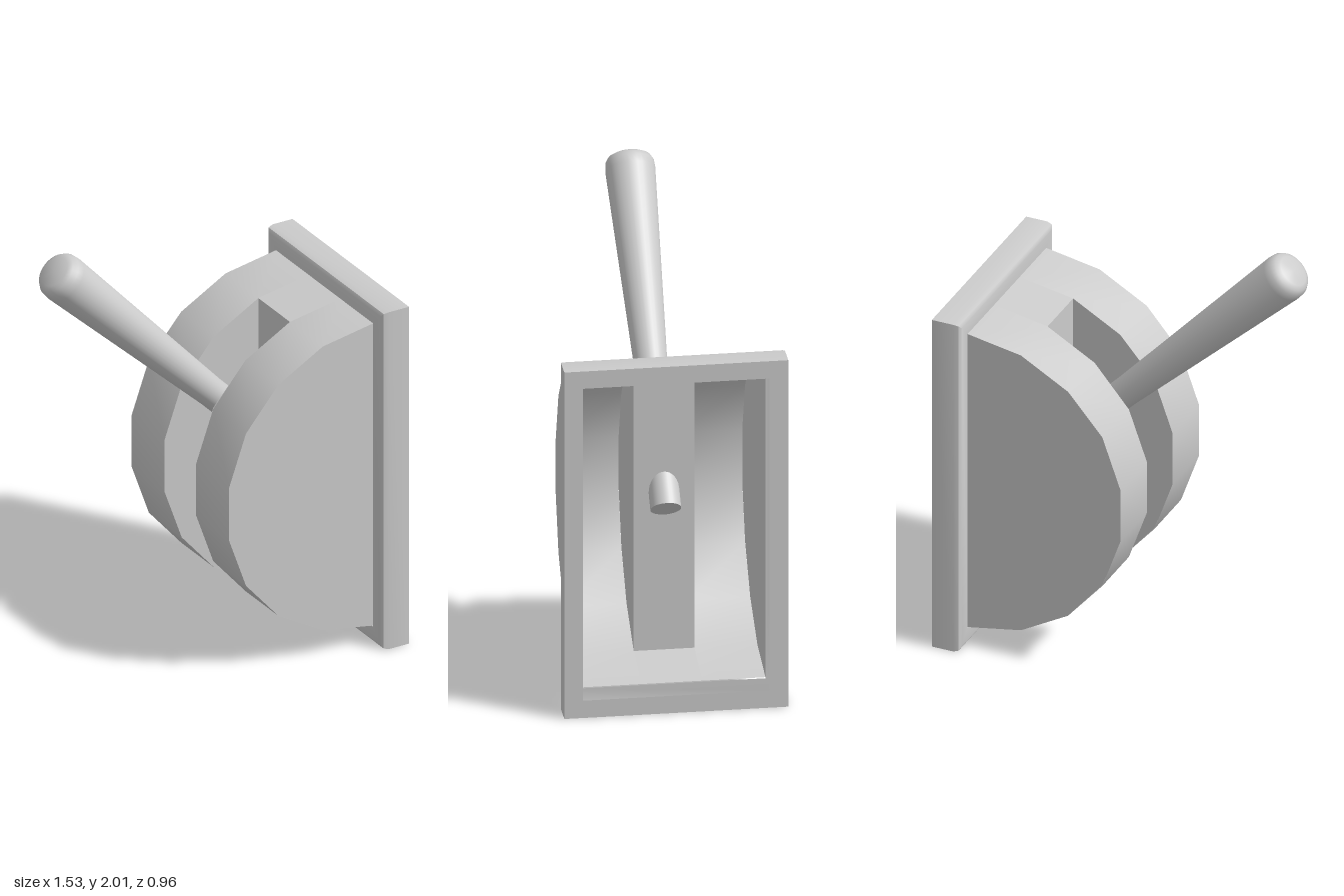
import * as THREE from 'three';
import { toCreasedNormals } from 'three/addons/utils/BufferGeometryUtils.js';

const material = new THREE.MeshStandardMaterial({ color: 0xcccccc, side: THREE.DoubleSide });

// Half-round outline of the housing in the x-y plane, top to bottom
const outline = [
  [0.63, 1.525], [0.38, 1.48], [0.16, 1.355], [0, 1.165], [-0.085, 0.925],
  [-0.085, 0.68], [0, 0.44], [0.16, 0.255], [0.38, 0.13], [0.63, 0.085],
];
const HALF = 0.4, SLOT = 0.13;

function addMesh(parent, name, geometry) {
  const mesh = new THREE.Mesh(geometry, material);
  mesh.name = name;
  parent.add(mesh);
  return mesh;
}

// Skin joining consecutive rows of points
function loft(rows, closed = false) {
  const n = rows[0].length, index = [];
  for (let i = 0; i < rows.length - 1; i++) {
    for (let j = 0; j < (closed ? n : n - 1); j++) {
      const k = (j + 1) % n;
      const a = i * n + j, b = i * n + k, c = a + n, d = b + n;
      index.push(a, b, c, b, d, c);
    }
  }
  const g = new THREE.BufferGeometry();
  g.setAttribute('position', new THREE.Float32BufferAttribute(rows.flat(2), 3));
  g.setIndex(index);
  return toCreasedNormals(g, 0.6);
}

// Curved strip following part of the outline between two depths
const strip = (points, z0, z1) => loft(
  [points.map(([x, y]) => [x, y, z1]), points.map(([x, y]) => [x, y, z0])]);

// Flat wall filling part of the outline at one depth
function wall(points, z) {
  const shape = new THREE.Shape(points.map(([x, y]) => new THREE.Vector2(x, y)));
  return new THREE.ShapeGeometry(shape).translate(0, 0, z);
}

export function createModel() {
  const model = new THREE.Group();
  model.name = 'leverSwitch';

  // Hollow half-round housing split by a central slot
  const housing = new THREE.Group();
  housing.name = 'housing';
  model.add(housing);
  const slotOutline = outline.slice(1, 9);
  for (const side of [1, -1]) {
    const [z0, z1] = side > 0 ? [SLOT, HALF] : [-HALF, -SLOT];
    addMesh(housing, 'curvedRim', strip(outline, z0, z1));
    const outer = addMesh(housing, 'sideWall', wall(outline, HALF));
    const inner = addMesh(housing, 'slotWall', wall(slotOutline, -SLOT));
    if (side < 0) {
      outer.rotation.x = inner.rotation.x = Math.PI;
      outer.position.y = inner.position.y = 1.61;
    }
  }
  addMesh(housing, 'topBridge', strip(outline.slice(0, 2), -SLOT, SLOT));
  addMesh(housing, 'bottomBridge', strip(outline.slice(8), -SLOT, SLOT));
  addMesh(housing, 'slotFloor', strip([outline[1], outline[8]], -SLOT, SLOT));

  // Hollow mounting frame: rectangles at [x, inset from the outer edge]
  const section = [
    [0.76, 0.08], [0.76, 0], [0.66, 0], [0.638, 0.006], [0.63, 0.02], [0.63, 0.08],
  ];
  const rings = section.map(([x, inset]) => {
    const z = 0.48 - inset, lo = inset, hi = 1.605 - inset;
    return [[x, lo, -z], [x, hi, -z], [x, hi, z], [x, lo, z]];
  });
  addMesh(model, 'mountingFrame', loft(rings, true));

  // Flared lever with a rounded tip, leaning through the slot floor
  const profile = [
    [0, 0], [0.066, 0], [0.066, 0.52], [0.107, 1.55],
    [0.104, 1.585], [0.091, 1.607], [0.07, 1.618], [0, 1.622],
  ].map(([r, y]) => new THREE.Vector2(r, y));
  const lever = addMesh(model, 'lever', toCreasedNormals(new THREE.LatheGeometry(profile, 32), 0.75));
  lever.rotation.z = Math.PI / 4;
  lever.position.set(0.435, 0.805, 0);

  return model;
}
